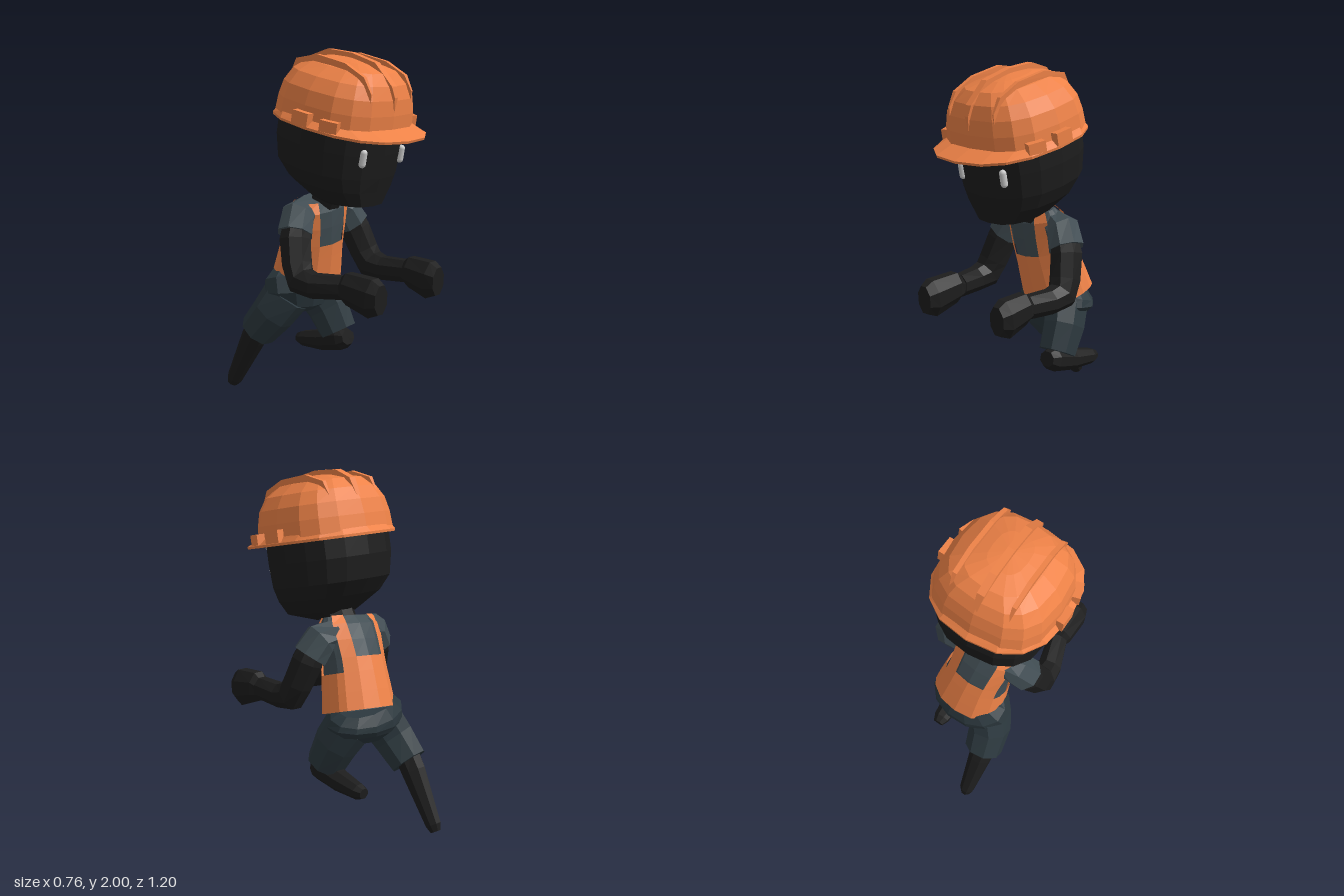
import * as THREE from 'three';

const paint = (color, side = THREE.FrontSide) =>
  new THREE.MeshStandardMaterial({ color, flatShading: true, side });
const ORANGE = paint(0xee8247, THREE.DoubleSide);
const BLACK = paint(0x1d1d1d);
const SHIRT = paint(0x414d53);
const SHORTS = paint(0x2c383e);
const WHITE = new THREE.MeshStandardMaterial({ color: 0xf2f2f2 });

const V = (x, y, z) => new THREE.Vector3(x, y, z);

// Skins a list of rings (each an array of points); keep(row, column) can leave quads out.
function skin(name, rings, material, { capped = true, keep = () => true } = {}) {
  const n = rings[0].length, index = [];
  const points = rings.flat();
  for (let i = 0; i < rings.length - 1; i++) {
    for (let j = 0; j < n; j++) {
      if (!keep(i, j)) continue;
      const k = (j + 1) % n;
      const a = i * n + j, b = i * n + k, c = b + n, d = a + n;
      index.push(a, b, c, a, c, d);
    }
  }
  if (capped) {
    const middle = ring => ring.reduce((s, p) => s.add(p), V(0, 0, 0)).divideScalar(n);
    const last = (rings.length - 1) * n, m = points.length;
    points.push(middle(rings[0]), middle(rings[rings.length - 1]));
    for (let j = 0; j < n; j++) {
      const k = (j + 1) % n;
      index.push(m, k, j, m + 1, last + j, last + k);
    }
  }
  const indexed = new THREE.BufferGeometry().setFromPoints(points);
  indexed.setIndex(index);
  const geometry = indexed.toNonIndexed();
  geometry.computeVertexNormals();
  const mesh = new THREE.Mesh(geometry, material);
  mesh.name = name;
  return mesh;
}

// Horizontal rounded-square ring from zBack to zFront; warp moves the corner columns sideways.
function ring(y, rx, zFront, zBack, power = 2.5, warp = 0, sides = 16) {
  const round = v => Math.sign(v) * Math.pow(Math.abs(v), 2 / power);
  const mid = (zFront + zBack) / 2, half = (zFront - zBack) / 2;
  return Array.from({ length: sides }, (_, j) => {
    const even = (j / sides) * Math.PI * 2;
    const a = even + warp * Math.sin(2 * even) ** 3;
    return V(rx * round(Math.sin(a)), y, mid + half * round(Math.cos(a)));
  });
}

// Limb through stations [x, y, z, width radius, depth radius].
function limb(name, stations, material, sides = 8) {
  const pts = stations.map(s => V(s[0], s[1], s[2]));
  const rings = stations.map(([, , , ru, rv = ru], i) => {
    const t = V(0, 0, 0);
    if (i > 0) t.add(pts[i].clone().sub(pts[i - 1]).normalize());
    if (i < pts.length - 1) t.add(pts[i + 1].clone().sub(pts[i]).normalize());
    t.normalize();
    const u = V(1, 0, 0).addScaledVector(t, -t.x).normalize();
    const v = t.clone().cross(u);
    return Array.from({ length: sides }, (_, j) => {
      const a = ((j + 0.5) / sides) * Math.PI * 2;
      return pts[i].clone().addScaledVector(u, ru * Math.cos(a)).addScaledVector(v, rv * Math.sin(a));
    });
  });
  return skin(name, rings, material);
}

// Helmet rib: a crescent in the z-y plane, extruded across x and narrowed to points at its low ends.
function rib(name, x, width, profile) {
  const shape = new THREE.Shape(profile.map(([z, y]) => new THREE.Vector2(-z, y)));
  const geometry = new THREE.ExtrudeGeometry(shape, { depth: width, bevelEnabled: false });
  geometry.translate(0, 0, -width / 2).rotateY(Math.PI / 2);
  const low = Math.min(...profile.map(p => p[1]));
  const pos = geometry.attributes.position;
  for (let i = 0; i < pos.count; i++) {
    pos.setX(i, pos.getX(i) * Math.min(1, 0.05 + (pos.getY(i) - low) / 0.14));
  }
  geometry.computeVertexNormals();
  const mesh = new THREE.Mesh(geometry, ORANGE);
  mesh.name = name;
  mesh.position.x = x;
  return mesh;
}

function createHead() {
  const head = new THREE.Group();
  head.name = 'head';
  head.position.set(0, 1.62, 0.13);
  head.rotation.x = 0.19;

  head.add(skin('face', [
    [-0.455, 0.09, 0.12, -0.04], [-0.41, 0.19, 0.295, -0.1], [-0.33, 0.27, 0.302, -0.23],
    [-0.25, 0.308, 0.31, -0.305], [-0.12, 0.32, 0.315, -0.335], [0.04, 0.32, 0.315, -0.335],
  ].map(r => ring(...r)), BLACK));

  for (const s of [-1, 1]) {
    const eye = new THREE.Mesh(new THREE.CapsuleGeometry(0.02, 0.06, 4, 10), WHITE);
    eye.name = 'eye';
    eye.position.set(s * 0.162 + 0.01, -0.13, 0.292);
    const brow = new THREE.Mesh(new THREE.SphereGeometry(1, 12, 8), WHITE);
    brow.name = 'brow';
    brow.scale.set(0.03, 0.014, 0.035);
    brow.position.set(s * 0.162 + 0.01, -0.025, 0.285);
    head.add(eye, brow);
  }

  // Hard hat
  const helmet = new THREE.Group();
  helmet.name = 'helmet';
  helmet.add(skin('dome', [
    [0, 0.345, 0.342], [0.1, 0.338, 0.335], [0.18, 0.32, 0.32], [0.25, 0.275, 0.288],
    [0.305, 0.195, 0.235], [0.333, 0.1, 0.13], [0.345, 0.01, 0.01],
  ].map(([y, rx, rz]) => ring(y, rx, rz, -rz, 2.8)), ORANGE, { capped: false }));
  helmet.add(skin('brim', [
    [0.0, 0.325, 0.32, -0.325], [-0.016, 0.372, 0.455, -0.365],
    [-0.002, 0.374, 0.457, -0.367], [0.03, 0.345, 0.34, -0.342],
  ].map(r => ring(...r, 2.5)), ORANGE, { capped: false }));
  helmet.add(rib('centreRib', 0, 0.042, [
    [0.332, 0.12], [0.33, 0.2], [0.305, 0.255], [0.17, 0.352], [0, 0.37], [-0.17, 0.356],
    [-0.275, 0.3], [-0.31, 0.2], [-0.2, 0.27], [0.2, 0.27],
  ]));
  for (const s of [-1, 1]) {
    helmet.add(rib('sideRib', s * 0.172, 0.026, [
      [0.3, 0.17], [0.298, 0.22], [0.24, 0.295], [0.1, 0.34], [-0.1, 0.345],
      [-0.24, 0.295], [-0.285, 0.18], [-0.15, 0.24], [0.15, 0.24],
    ]));
    // Strap clips along the rim
    for (const [x, y, z, h, len, turn] of [[0.356, 0.035, 0.01, 0.07, 0.11, 0], [0.335, 0.03, 0.185, 0.06, 0.1, -0.3]]) {
      const clip = new THREE.Mesh(new THREE.BoxGeometry(0.045, h, len), ORANGE);
      clip.name = 'clip';
      clip.position.set(s * x, y, z);
      clip.rotation.y = s * turn;
      helmet.add(clip);
    }
  }
  head.add(helmet);
  return head;
}

function createTorso() {
  const torso = new THREE.Group();
  torso.name = 'torso';
  torso.position.set(0.025, 0.68, -0.17);
  torso.rotation.set(0.3, 0, 0.1);
  const rows = [
    [0, 0.2, 0.165, 0.17], [0.1, 0.19, 0.155, 0.162], [0.21, 0.178, 0.143, 0.152],
    [0.29, 0.175, 0.135, 0.143], [0.39, 0.182, 0.12, 0.125], [0.48, 0.19, 0.1, 0.1], [0.53, 0.165, 0.06, 0.06],
  ];
  const rings = grow => rows.map(([y, rx, f, b]) => ring(y + grow * 0.3, rx + grow, f + grow, -b - grow, 2.3, 0.19));
  torso.add(skin('shirt', rings(0), SHIRT));
  // Vest: full lower band, open armholes and neck, two straps front and back
  const strap = [1, 6, 9, 14], neck = [0, 7, 8, 15];
  torso.add(skin('vest', rings(0.012), ORANGE, {
    capped: false,
    keep: (i, j) => i < 2 || strap.includes(j) || (i === 2 && neck.includes(j)),
  }));
  return torso;
}

// Arm on side s, with the hand at handX and pushed forward by reach.
function createArm(s, handX, reach) {
  const arm = new THREE.Group();
  arm.name = s > 0 ? 'leftArm' : 'rightArm';
  arm.add(limb('sleeve', [
    [s * 0.1, 1.115, -0.05, 0.08], [s * 0.19, 1.09, -0.035, 0.098], [s * 0.245, 1.0, -0.01, 0.102],
  ], SHIRT));
  arm.add(limb('arm', [
    [s * 0.225, 1.05, -0.015, 0.08], [s * 0.255, 0.97, 0.0, 0.092], [s * 0.288, 0.84, 0.045, 0.09, 0.085],
    [s * 0.302, 0.765, 0.085, 0.083, 0.088], [s * 0.3, 0.748, 0.18, 0.072], [handX, 0.755, 0.35, 0.06, 0.068],
  ], BLACK));
  arm.add(limb('fist', [
    [handX, 0.745, 0.33, 0.05, 0.055], [handX, 0.755, 0.38, 0.072, 0.093],
    [handX, 0.728, 0.515 + reach, 0.076, 0.114], [handX, 0.725, 0.568 + reach, 0.055, 0.085],
  ], BLACK));
  return arm;
}

export function createModel() {
  const model = new THREE.Group();
  model.name = 'runningWorker';

  model.add(createHead(), createTorso());
  model.add(limb('neck', [[0, 1.1, -0.03, 0.1, 0.08], [0, 1.27, 0.06, 0.1, 0.08]], BLACK));
  model.add(createArm(1, 0.3, 0), createArm(-1, -0.25, 0.03));

  // Shorts
  model.add(limb('hips', [
    [0, 0.51, -0.2, 0.1, 0.08], [0, 0.56, -0.195, 0.2, 0.15], [0.0, 0.625, -0.19, 0.25, 0.175],
    [0.005, 0.685, -0.21, 0.235, 0.158], [0.015, 0.73, -0.22, 0.18, 0.115],
  ], SHORTS, 12));
  model.add(limb('leftShortsLeg', [
    [0.1, 0.61, -0.165, 0.125, 0.14], [0.14, 0.5, -0.105, 0.118, 0.132], [0.155, 0.365, -0.035, 0.108, 0.114],
  ], SHORTS));
  model.add(limb('rightShortsLeg', [
    [-0.12, 0.61, -0.19, 0.125, 0.14], [-0.165, 0.5, -0.255, 0.122, 0.127], [-0.185, 0.38, -0.36, 0.112, 0.11],
  ], SHORTS));

  // Left shin folded back, right shin pushing off behind
  model.add(limb('leftShin', [
    [0.15, 0.34, 0.043, 0.055, 0.045], [0.15, 0.33, 0.0, 0.077, 0.072], [0.15, 0.292, -0.15, 0.068, 0.064],
    [0.155, 0.27, -0.31, 0.05, 0.046], [0.155, 0.268, -0.35, 0.032, 0.03],
  ], BLACK));
  model.add(limb('rightShin', [
    [-0.185, 0.42, -0.34, 0.075, 0.075], [-0.187, 0.33, -0.395, 0.07, 0.076],
    [-0.187, 0.055, -0.555, 0.045, 0.048], [-0.187, 0.02, -0.575, 0.03, 0.032],
  ], BLACK));

  return model;
}
